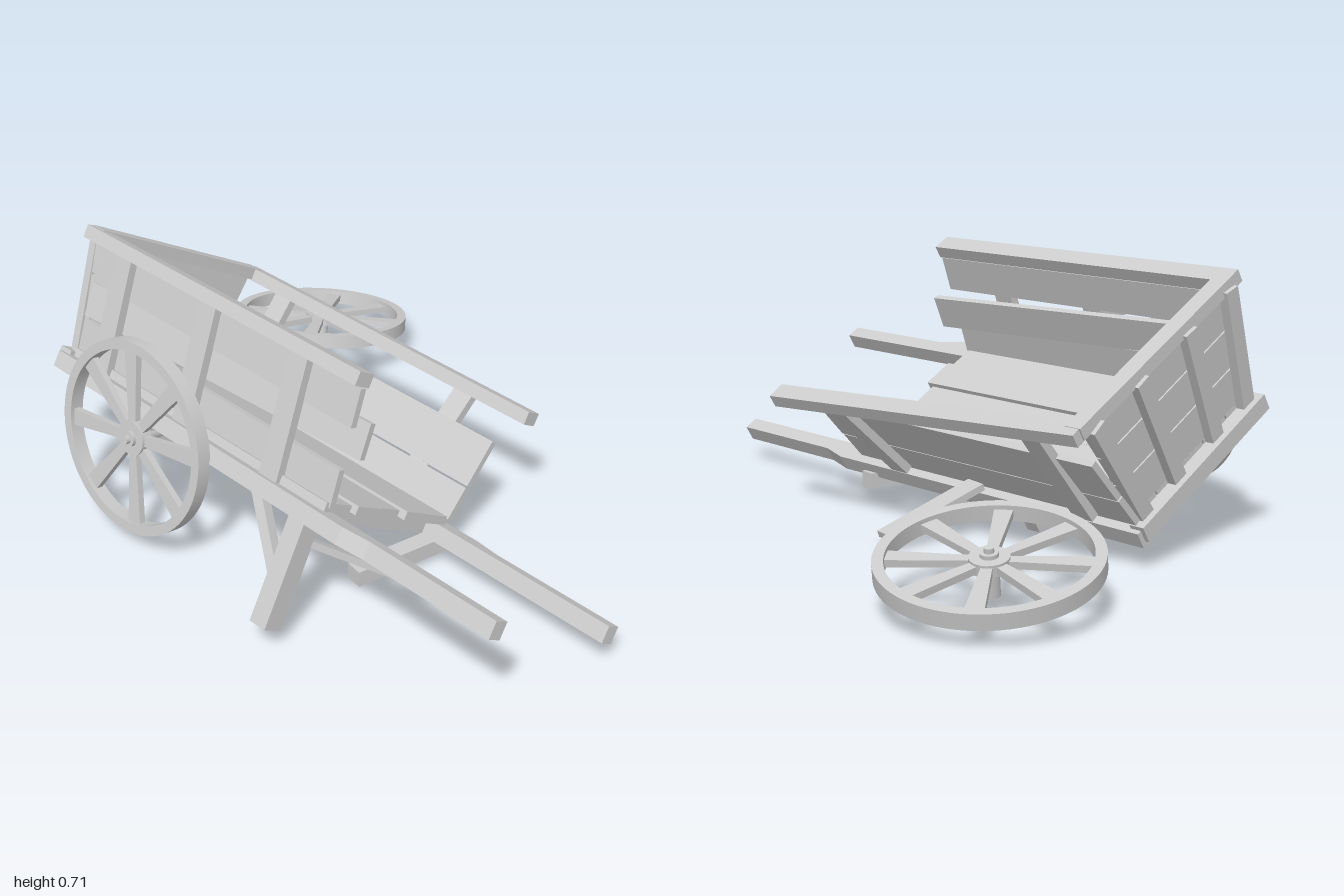
import * as THREE from 'three';
import { toCreasedNormals } from 'three/addons/utils/BufferGeometryUtils.js';

const mat = new THREE.MeshStandardMaterial({ color: 0xcccccc });
const V = (p) => new THREE.Vector3(...p);

function add(parent, name, geo) {
  const m = new THREE.Mesh(geo, mat);
  m.name = name;
  parent.add(m);
  return m;
}

// Squared timber from p to q; t is its size along the up hint, w its size across
function timber(parent, name, p, q, w, t, up = [0, 1, 0]) {
  const a = V(p), b = V(q);
  const m = add(parent, name, new THREE.BoxGeometry(w, t, a.distanceTo(b)));
  const z = b.clone().sub(a).normalize();
  const x = V(up).cross(z).normalize();
  const y = z.clone().cross(x);
  m.quaternion.setFromRotationMatrix(new THREE.Matrix4().makeBasis(x, y, z));
  m.position.copy(a).add(b).multiplyScalar(0.5);
  return m;
}

// Extruded outline, centred on its depth
function slab(pts, depth) {
  const s = new THREE.Shape(pts.map(([x, y]) => new THREE.Vector2(x, y)));
  return new THREE.ExtrudeGeometry(s, { depth, bevelEnabled: false }).translate(0, 0, -depth / 2);
}

function wheel(name, center, axis, spin) {
  const g = new THREE.Group();
  g.name = name;
  const R = 0.264, inner = 0.237;
  const ring = new THREE.Shape().absarc(0, 0, R, 0, Math.PI * 2);
  ring.holes.push(new THREE.Path().absarc(0, 0, inner, 0, Math.PI * 2, true));
  const rim = new THREE.ExtrudeGeometry(ring, { depth: 0.04, bevelEnabled: false, curveSegments: 40 });
  add(g, 'rim', toCreasedNormals(rim.translate(0, 0, -0.02), 0.5));
  // Spokes widen towards the rim
  for (let i = 0; i < 8; i++) {
    const s = add(g, 'spoke', slab([[0.02, -0.012], [0.24, -0.023], [0.24, 0.023], [0.02, 0.012]], 0.018));
    s.rotation.z = spin + (i * Math.PI) / 4;
  }
  const cyl = (n, r, len, z) => {
    const geo = new THREE.CylinderGeometry(r, r, len, 20).rotateX(Math.PI / 2).translate(0, 0, z);
    add(g, n, geo);
  };
  cyl('hubFlange', 0.048, 0.03, 0);
  cyl('hub', 0.022, 0.11, -0.03);
  cyl('axlePin', 0.012, 0.012, 0.031);
  g.position.set(...center);
  g.quaternion.setFromUnitVectors(new THREE.Vector3(0, 0, 1), V(axis).normalize());
  return g;
}

export function createModel() {
  const root = new THREE.Group();
  root.name = 'brokenCart';

  // Cart frame: x across, y up from the bed, z towards the handles
  const cart = new THREE.Group();
  cart.name = 'cartBody';
  cart.rotation.order = 'YXZ';
  cart.rotation.set(0, 0.156, -0.533);
  cart.position.set(-0.246, 0.213, 0);
  root.add(cart);

  // Chassis beams that narrow into handles
  for (const s of [-1, 1]) {
    const pts = [[0.218, -0.64], [0.278, -0.64], [0.278, 0.5], [0.26, 0.58], [0.26, 0.98], [0.218, 0.98]];
    const beam = add(cart, 'shaft', slab(s > 0 ? pts : pts.map(([x, z]) => [-x, z]).reverse(), 0.046));
    beam.rotation.x = Math.PI / 2;
  }

  // Cross members and axle
  for (const z of [-0.58, -0.1, 0.34]) timber(cart, 'crossBeam', [-0.22, 0, z], [0.22, 0, z], 0.06, 0.04);
  timber(cart, 'rearSill', [-0.265, 0.012, -0.63], [0.265, 0.012, -0.63], 0.045, 0.045);
  timber(cart, 'axle', [-0.3, -0.05, -0.235], [0.275, -0.05, -0.235], 0.045, 0.05);

  // Bed planks with uneven front ends
  [0.41, 0.425, 0.4, 0.42, 0.405].forEach((end, i) => {
    const x = -0.202 + i * 0.101, y = 0.034 + (i % 2) * 0.006;
    timber(cart, 'bedPlank', [x, y, -0.61], [x, y, end], 0.095, 0.024);
  });

  // Rear wall, widening and leaning back towards the top
  const rearZ = (y) => -0.597 - 0.09 * y;
  for (let i = 0; i < 3; i++) {
    const y = 0.098 + i * 0.106, h = 0.051;
    const a = 0.225 + 0.2 * (y - h), b = 0.225 + 0.2 * (y + h);
    const plank = add(cart, 'rearPlank', slab([[-a, -h], [a, -h], [b, h], [-b, h]], 0.018));
    plank.position.set(0, y, rearZ(y));
    plank.rotation.x = -0.09;
  }
  for (const [x0, x1] of [[-0.215, -0.275], [-0.08, -0.1], [0.08, 0.1], [0.215, 0.275]]) {
    timber(cart, 'rearStake', [x0, 0, rearZ(0) - 0.022], [x1, 0.36, rearZ(0.36) - 0.022], 0.045, 0.026, [0, 0, 1]);
  }
  timber(cart, 'rearRail', [-0.31, 0.365, -0.628], [0.32, 0.372, -0.628], 0.05, 0.034);

  // Standing side wall: flared planks, one knocked inwards, with stakes and top rail
  timber(cart, 'sidePlank', [-0.24, 0.085, -0.61], [-0.24, 0.085, 0.415], 0.018, 0.1, [-0.2, 1, 0]);
  timber(cart, 'knockedPlank', [-0.262, 0.19, -0.61], [-0.195, 0.212, 0.412], 0.018, 0.095, [-0.12, 1, 0]);
  timber(cart, 'sidePlank', [-0.28, 0.29, -0.61], [-0.28, 0.29, 0.415], 0.018, 0.1, [-0.2, 1, 0]);
  for (const z of [-0.48, -0.13, 0.215]) timber(cart, 'sideStake', [-0.244, 0, z], [-0.312, 0.35, z], 0.065, 0.024, [1, 0, 0]);
  timber(cart, 'sideRail', [-0.305, 0.362, -0.65], [-0.305, 0.362, 0.42], 0.052, 0.036);

  // Collapsed side wall leaning outwards
  timber(cart, 'loosePlank', [0.265, 0.085, -0.63], [0.265, 0.085, 0.41], 0.018, 0.095, [0.22, 1, 0]);
  timber(cart, 'loosePlank', [0.292, 0.202, -0.63], [0.292, 0.202, 0.41], 0.018, 0.135, [0.22, 1, 0]);
  timber(cart, 'looseRail', [0.318, 0.37, -0.648], [0.396, 0.354, 0.43], 0.052, 0.036);
  for (const [z, x] of [[-0.48, 0.33], [0.215, 0.38]]) {
    timber(cart, 'looseStake', [0.28, 0.045, z], [x, 0.355, z], 0.065, 0.024, [1, 0, 0]);
  }
  timber(root, 'fallenStake', [0.03, 0.13, -0.168], [0.31, 0.032, -0.168], 0.068, 0.018);

  // Standing leg with brace, slipped cross bar, and folded leg
  timber(cart, 'leg', [-0.245, 0, 0.36], [-0.235, -0.305, 0.362], 0.055, 0.058, [1, 0, 0]);
  timber(cart, 'legBrace', [-0.24, -0.2, 0.36], [-0.24, -0.02, 0.19], 0.03, 0.03);
  timber(cart, 'legBar', [-0.24, -0.07, 0.36], [0.2, -0.118, 0.53], 0.035, 0.018);
  timber(root, 'foldedLeg', [0.06, 0.043, 0.34], [-0.23, 0.043, 0.34], 0.05, 0.045);

  // One wheel leaning on the axle, one lying on the ground
  root.add(wheel('mountedWheel', [-0.565, 0.31, -0.18], [-0.96, 0.18, 0.21], 0));
  root.add(wheel('looseWheel', [0.383, 0.117, -0.736], [0.17, 1, -0.15], -0.15));
  return root;
}
